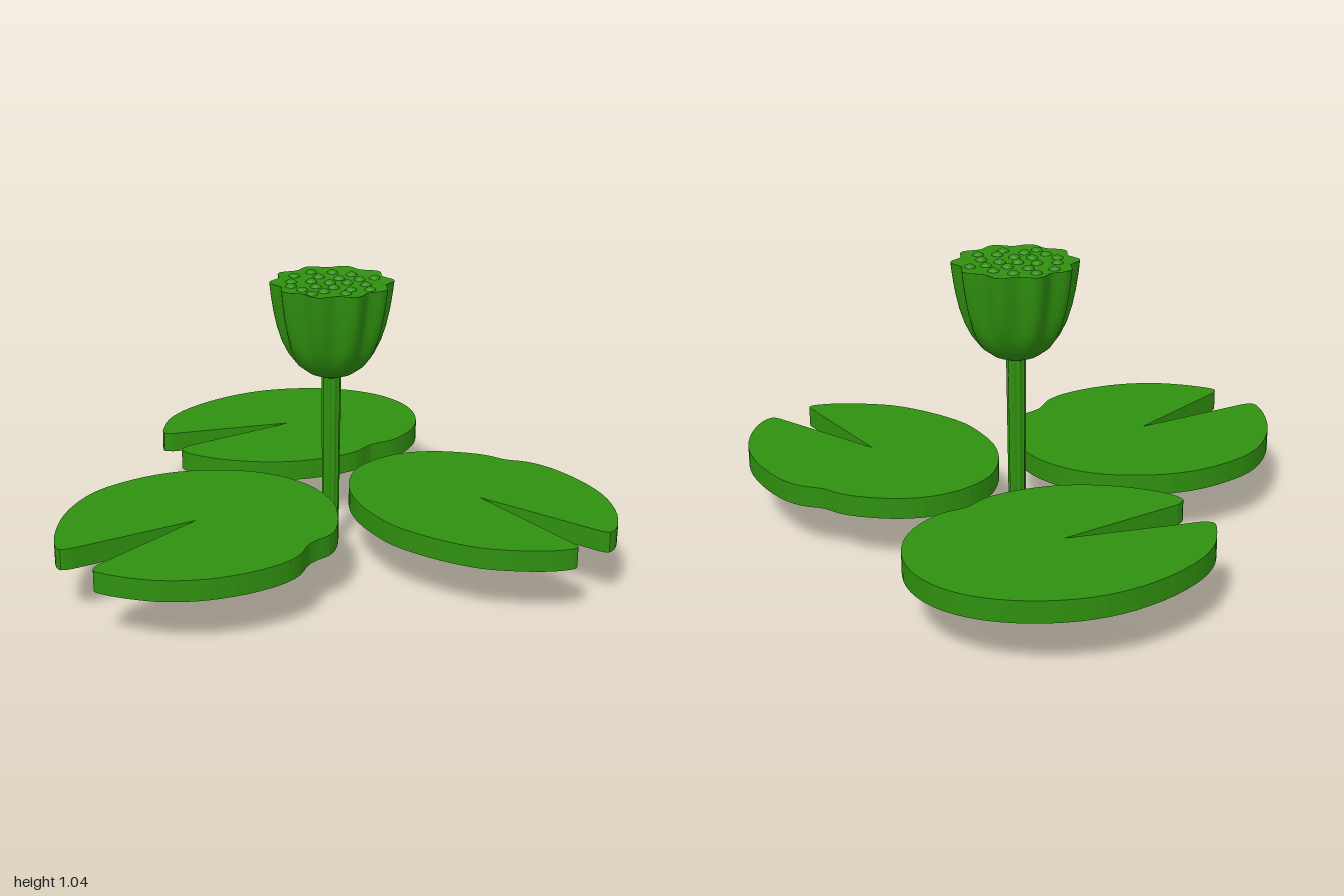
import * as THREE from 'three';

const POD_X = 0.157, POD_Z = -0.005;
const LOBES = 10;

// Pad outlines as x, z pairs: notch tip first, then the rim from lip to lip
const PADS = {
  leftPad: [0.426, -0.58, -0.01, -0.78, -0.035, -0.81, -0.01, -0.85, 0.08, -0.93, 0.2, -0.98, 0.36, -1.0,
    0.52, -0.985, 0.66, -0.935, 0.79, -0.845, 0.89, -0.73, 0.945, -0.6, 0.95, -0.47, 0.91, -0.35,
    0.83, -0.25, 0.73, -0.19, 0.62, -0.165, 0.52, -0.18, 0.42, -0.16, 0.3, -0.18, 0.17, -0.235,
    0.06, -0.32, -0.03, -0.43, -0.085, -0.54, -0.09, -0.61, -0.045, -0.63],
  rightPad: [-0.455, -0.02, -0.92, -0.1, -0.957, -0.118, -0.95, -0.16, -0.9, -0.24, -0.81, -0.34, -0.7, -0.42,
    -0.58, -0.47, -0.46, -0.48, -0.33, -0.465, -0.22, -0.425, -0.12, -0.36, -0.02, -0.26, 0.04, -0.14,
    0.06, 0, 0.03, 0.15, -0.03, 0.25, -0.1, 0.33, -0.17, 0.375, -0.27, 0.385, -0.36, 0.435,
    -0.46, 0.45, -0.59, 0.43, -0.72, 0.38, -0.83, 0.3, -0.91, 0.2, -0.957, 0.11, -0.95, 0.08, -0.92, 0.065],
  frontPad: [0.463, 0.475, 0.42, 0.95, 0.415, 0.985, 0.385, 0.99, 0.31, 0.95, 0.22, 0.87, 0.14, 0.77,
    0.08, 0.62, 0.05, 0.46, 0.065, 0.32, 0.1, 0.2, 0.165, 0.09, 0.26, 0, 0.35, -0.04,
    0.46, -0.05, 0.57, -0.025, 0.67, 0.04, 0.75, 0.13, 0.79, 0.2, 0.81, 0.27, 0.86, 0.35,
    0.88, 0.46, 0.865, 0.62, 0.82, 0.76, 0.74, 0.88, 0.65, 0.96, 0.59, 0.98, 0.57, 0.95],
};

// Seed positions on the pod top as x, z pairs
const SEEDS = [0.11, -0.16, 0.19, -0.16, 0.05, -0.105, 0.172, -0.095, 0.25, -0.11, 0.01, -0.058, 0.108, -0.063,
  0.283, -0.042, 0.214, -0.032, 0.01, 0.005, 0.077, 0, 0.15, -0.01, 0.198, 0.032, 0.262, 0.026, 0.315, 0.048,
  0, 0.069, 0.056, 0.069, 0.119, 0.048, 0.23, 0.095, 0.145, 0.111, 0.098, 0.138, 0.198, 0.153];

function toPoints(list) {
  const pts = [];
  for (let i = 0; i < list.length; i += 2) pts.push(new THREE.Vector2(list[i], list[i + 1]));
  return pts;
}

// Flat leaf with a wedge notch
function padGeometry(list) {
  const [tip, ...rim] = toPoints(list).map((p) => new THREE.Vector2(p.x, -p.y));
  const curve = new THREE.SplineCurve(rim);
  const shape = new THREE.Shape([tip, ...curve.getPoints(rim.length * 3)]);
  const geo = new THREE.ExtrudeGeometry(shape, { depth: 0.077, bevelEnabled: false });
  geo.rotateX(-Math.PI / 2);
  geo.translate(0, 0.187, 0);
  return geo;
}

// Lathe whose radius is scalloped by a depth that depends on height
function ribbedLathe(profile, depthAt) {
  const geo = new THREE.LatheGeometry(toPoints(profile), LOBES * 12);
  const pos = geo.attributes.position;
  for (let i = 0; i < pos.count; i++) {
    const x = pos.getX(i), z = pos.getZ(i);
    const valley = 0.5 + 0.5 * Math.cos(LOBES * Math.atan2(x, z));
    const k = 1 - depthAt(pos.getY(i)) * valley;
    pos.setX(i, x * k);
    pos.setZ(i, z * k);
  }
  geo.computeVertexNormals();
  geo.translate(POD_X, 0, POD_Z);
  return geo;
}

export function createModel() {
  const model = new THREE.Group();
  const green = new THREE.MeshStandardMaterial({ color: 0x2f900f });
  green.name = 'leafGreen';
  const add = (name, geo, parent = model) => {
    const mesh = new THREE.Mesh(geo, green);
    mesh.name = name;
    parent.add(mesh);
    return mesh;
  };

  // Floating pads
  for (const [name, list] of Object.entries(PADS)) add(name, padGeometry(list));

  // Stem, lightly fluted, with a closed foot
  add('stem', ribbedLathe([0.031, 0, 0.033, 0.3, 0.036, 0.72], () => 0.12));
  add('stemFoot', ribbedLathe([0, 0, 0.031, 0], () => 0.12));

  // Seed pod: smooth at the base, ribbed toward the rim
  const ribDepth = (y) => 0.12 * THREE.MathUtils.smoothstep(y, 0.7, 0.88);
  add('pod', ribbedLathe([0, 0.672, 0.04, 0.677, 0.085, 0.695, 0.125, 0.725, 0.157, 0.765, 0.18, 0.81,
    0.198, 0.865, 0.211, 0.925, 0.22, 0.985, 0.225, 1.03], ribDepth));
  add('podTop', ribbedLathe([0.225, 1.03, 0.205, 1.025, 0, 1.022], ribDepth));

  // Seeds
  const seeds = new THREE.Group();
  seeds.name = 'seeds';
  model.add(seeds);
  const seedGeo = new THREE.SphereGeometry(0.022, 14, 10);
  for (const p of toPoints(SEEDS)) {
    const seed = add('seed', seedGeo, seeds);
    seed.position.set(p.x, 1.02, p.y);
    seed.scale.y = 0.75;
  }
  return model;
}
